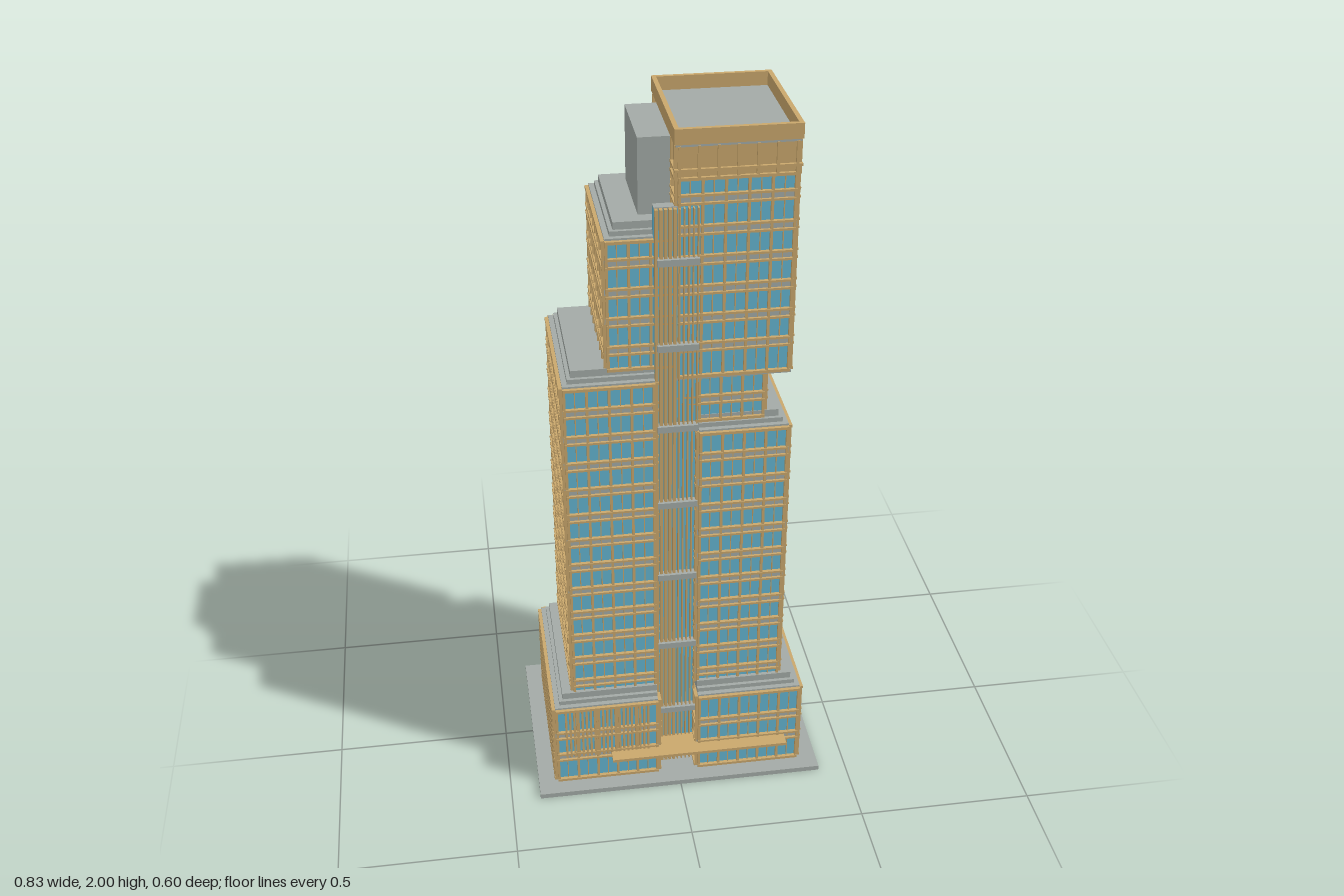
import * as THREE from 'three';
import { mergeGeometries } from 'three/addons/utils/BufferGeometryUtils.js';

const FLOOR = 0.0815, FIRST = 0.35; // storey height and centre of a reference floor band

export function createModel() {
  const model = new THREE.Group();
  model.name = 'tower';
  const mat = (name, color) => {
    const m = new THREE.MeshStandardMaterial({ color });
    m.name = name;
    return m;
  };
  const glass = mat('blue glass', 0x63b3cf);
  const tan = mat('tan metal', 0xc9a76c);
  const stone = mat('grey stone', 0xa3aaa6);

  // Box geometry from its limits
  const block = (x0, x1, y0, y1, z0, z1) =>
    new THREE.BoxGeometry(x1 - x0, y1 - y0, z1 - z0)
      .translate((x0 + x1) / 2, (y0 + y1) / 2, (z0 + z1) / 2);
  const add = (name, geometry, material, parent = model) => {
    const mesh = new THREE.Mesh(geometry, material);
    mesh.name = name;
    parent.add(mesh);
    return mesh;
  };
  const addMerged = (name, list, material, parent) => {
    if (list.length) add(name, mergeGeometries(list), material, parent);
  };

  // A glazed block with mullions and floor bands on all four sides
  function glazedBlock(name, x0, x1, y0, y1, z) {
    const group = new THREE.Group();
    group.name = name;
    model.add(group);
    add('glazing', block(x0, x1, y0, y1, -z, z), glass, group);
    const frames = [], bands = [];
    const cx = (x0 + x1) / 2, w = x1 - x0, d = 2 * z;
    for (let side = 0; side < 4; side++) {
      const width = side % 2 ? d : w, out = side % 2 ? w / 2 : z;
      const place = (g) => g.rotateY(side * Math.PI / 2).translate(cx, 0, 0);
      const bays = Math.max(1, Math.round(width / 0.056));
      for (let i = 0; i <= 2 * bays; i++) {
        const main = i % 2 === 0;
        const half = main ? 0.0035 : 0.0013;
        const u = -width / 2 + half + (width - 2 * half) * i / (2 * bays);
        frames.push(place(block(u - half, u + half, y0, y1, out - 0.002, out + (main ? 0.008 : 0.004))));
      }
      for (let k = -4; k < 21; k++) {
        const y = FIRST + k * FLOOR;
        if (y - 0.015 < y0 || y + 0.015 > y1) continue;
        bands.push(place(block(-width / 2, width / 2, y - 0.010, y + 0.010, out - 0.002, out + 0.003)));
        for (const s of [-1, 1]) {
          const c = y + s * 0.011;
          frames.push(place(block(-width / 2, width / 2, c - 0.003, c + 0.003, out - 0.002, out + 0.010)));
        }
      }
      // Head and sill rails
      for (const c of [y0 + 0.004, y1 - 0.004])
        frames.push(place(block(-width / 2, width / 2, c - 0.004, c + 0.004, out - 0.002, out + 0.010)));
    }
    addMerged('window frames', frames, tan, group);
    addMerged('floor bands', bands, stone, group);
  }

  // Stepped roof cap; the inner edge stays at the core
  function roofCap(name, x0, x1, y, z, inL, inR) {
    add(name, mergeGeometries([
      block(x0, x1, y, y + 0.005, -z, z),
      block(x0 + inL * 0.014, x1 - inR * 0.014, y, y + 0.018, -z + 0.014, z - 0.014),
      block(x0 + inL * 0.024, x1 - inR * 0.024, y, y + 0.038, -z + 0.024, z - 0.024),
    ]), stone);
  }

  add('basePlate', block(-0.417, 0.417, 0, 0.015, -0.3, 0.3), stone);

  // Left wing
  glazedBlock('leftPodium', -0.36, -0.06, 0.015, 0.282, 0.243);
  roofCap('leftPodiumCap', -0.36, -0.06, 0.282, 0.243, 1, 0);
  glazedBlock('leftMiddle', -0.302, -0.06, 0.31, 1.32, 0.208);
  roofCap('leftMiddleCap', -0.302, -0.06, 1.32, 0.208, 1, 0);
  glazedBlock('leftUpper', -0.182, -0.008, 1.35, 1.715, 0.182);
  roofCap('leftUpperCap', -0.182, -0.01, 1.715, 0.182, 1, 0);
  add('plantRoom', block(-0.09, -0.008, 1.74, 1.955, -0.12, 0.12), stone);

  // Right wing
  glazedBlock('rightPodium', 0.058, 0.36, 0.015, 0.282, 0.243);
  roofCap('rightPodiumCap', 0.058, 0.36, 0.282, 0.243, 0, 1);
  glazedBlock('rightMiddle', 0.058, 0.3, 0.31, 1.16, 0.208);
  roofCap('rightMiddleCap', 0.058, 0.3, 1.16, 0.208, 0, 1);
  glazedBlock('rightNeck', 0.0, 0.236, 1.18, 1.32, 0.182);

  // Overhanging top tower with a tan crown and sunken roof
  glazedBlock('topTower', 0, 0.298, 1.32, 1.875, 0.19);
  add('topTowerSoffit', block(-0.004, 0.302, 1.314, 1.322, -0.194, 0.194), stone);
  add('crownWall', block(-0.002, 0.3, 1.875, 1.955, -0.192, 0.192), tan);
  const ribs = [];
  for (let i = 0; i <= 6; i++) {
    const x = 0.003 + i * 0.292 / 6, z = -0.187 + i * 0.374 / 6;
    ribs.push(block(x - 0.0035, x + 0.0035, 1.875, 1.955, -0.199, 0.199));
    ribs.push(block(-0.009, 0.307, 1.875, 1.955, z - 0.0035, z + 0.0035));
  }
  ribs.push(block(-0.01, 0.308, 1.89, 1.897, -0.2, 0.2));
  addMerged('crownRibs', ribs, tan, model);
  add('crownParapet', mergeGeometries([
    block(-0.01, 0.308, 1.96, 2, 0.188, 0.2),
    block(-0.01, 0.308, 1.96, 2, -0.2, -0.188),
    block(-0.01, 0.002, 1.96, 2, -0.188, 0.188),
    block(0.296, 0.308, 1.96, 2, -0.188, 0.188),
  ]), tan);
  add('topRoof', block(-0.006, 0.304, 1.953, 1.963, -0.196, 0.196), stone);

  // Central core: glass end walls with vertical fins, front and back
  add('coreFill', block(-0.065, 0.06, 0.015, 1.2, -0.17, 0.17), stone);
  const fins = [], walls = [], caps = [];
  for (const s of [-1, 1]) {
    const slab = (x0, x1, y0, y1, a, b) =>
      s > 0 ? block(x0, x1, y0, y1, a, b) : block(x0, x1, y0, y1, -b, -a);
    walls.push(slab(-0.06, 0.056, 0.015, 1.795, 0.165, 0.192));
    caps.push(slab(-0.06, 0, 1.795, 1.8, 0.165, 0.192));
    for (let i = 0; i < 10; i++) {
      const x = -0.055 + i * 0.0118, half = i < 5 ? 0.004 : 0.0018;
      fins.push(slab(x - half, x + half, 0.015, 1.798, 0.19, 0.206));
    }
  }
  addMerged('coreGlass', walls, glass, model);
  addMerged('coreCaps', caps, stone, model);
  addMerged('coreFins', fins, tan, model);
  const ledges = [];
  for (let i = 0; i < 7; i++) {
    const y = 0.215 + i * 0.2405;
    ledges.push(block(-0.054, 0.054, y - 0.009, y + 0.009, 0.19, 0.214));
  }
  addMerged('coreLedges', ledges, stone, model);

  // Close-set screen fins on the left podium, side and front
  const screen = [];
  for (let i = 0; i < 40; i++) {
    const z = -0.234 + i * 0.012;
    screen.push(block(-0.37, -0.359, 0.02, 0.28, z - 0.003, z + 0.003));
  }
  for (let i = 0; i < 21; i++) {
    const x = -0.33 + i * 0.012;
    screen.push(block(x - 0.003, x + 0.003, 0.105, 0.28, 0.242, 0.252));
  }
  addMerged('podiumScreen', screen, tan, model);

  add('entranceCanopy', block(-0.2, 0.318, 0.1, 0.109, 0.2, 0.288), tan);
  return model;
}
